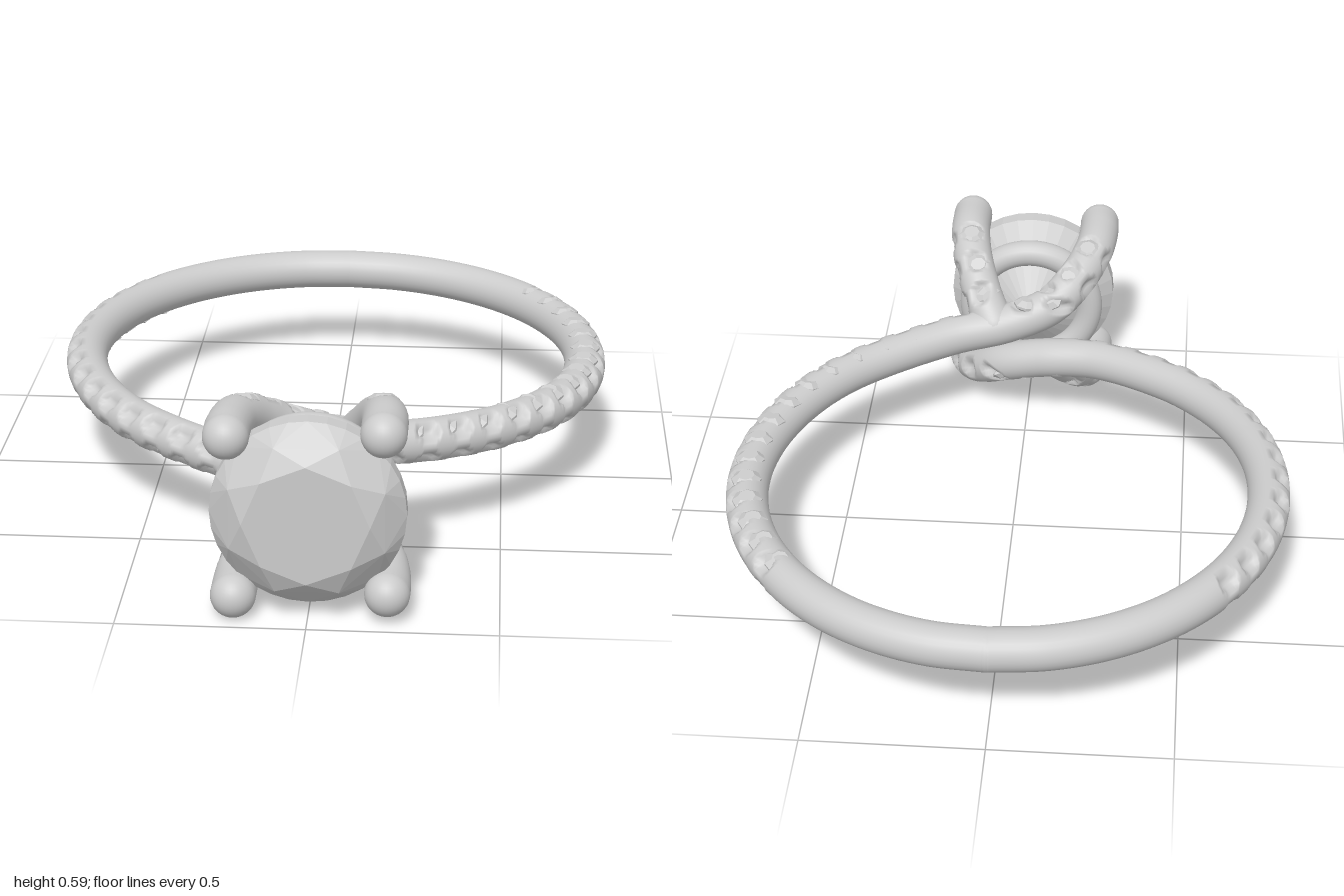
import * as THREE from 'three';
import { ConvexGeometry } from 'three/addons/geometries/ConvexGeometry.js';

const V = (x, y, z) => new THREE.Vector3(x, y, z);
const MID = 0.295; // height of the stone axis, about which both halves are turned
const R = 0.06; // wire radius
const PITCH = 0.097; // distance between small stones

const metal = new THREE.MeshStandardMaterial({ color: 0xcccccc });
const facet = new THREE.MeshStandardMaterial({ color: 0xcccccc, flatShading: true });

function mesh(name, geometry, material) {
  const m = new THREE.Mesh(geometry, material);
  m.name = name;
  return m;
}

// Frame on a wire: n faces outwards from the finger on the band, from the stone axis on the prongs
function frameAt(curve, u) {
  const p = curve.getPointAt(u);
  const t = curve.getTangentAt(u);
  const w = THREE.MathUtils.smoothstep(p.z, 0.5, 0.64);
  const band = V(p.x, 0, p.z + 0.2).normalize();
  const prong = V(p.x, p.y, 0).normalize();
  const n = band.lerp(prong, w);
  n.addScaledVector(t, -n.dot(t)).normalize();
  return { p, t, n, b: t.clone().cross(n) };
}

// Round wire with a pair of scooped pockets beside every small stone
function wireGeometry(curve, seats, segments, sides = 28) {
  const length = curve.getLength();
  const pos = [];
  const index = [];
  for (let i = 0; i <= segments; i++) {
    const u = i / segments;
    const { p, n, b } = frameAt(curve, u);
    const gap = seats.reduce((m, s) => Math.min(m, Math.abs(s - u * length)), 1) / 0.034;
    for (let j = 0; j < sides; j++) {
      const a = (j / sides) * Math.PI * 2;
      const off = (Math.min(a, Math.PI * 2 - a) - 0.82) / 0.5;
      const r = R - 0.024 * Math.sqrt(Math.max(0, 1 - gap * gap - off * off));
      const v = p.clone().addScaledVector(n, r * Math.cos(a)).addScaledVector(b, r * Math.sin(a));
      pos.push(v.x, v.y, v.z);
      if (i === segments) continue;
      const k = i * sides + j;
      const l = i * sides + ((j + 1) % sides);
      index.push(k, l, k + sides, l, l + sides, k + sides);
    }
  }
  const g = new THREE.BufferGeometry();
  g.setAttribute('position', new THREE.Float32BufferAttribute(pos, 3));
  g.setIndex(index);
  g.computeVertexNormals();
  return g;
}

// Small round-cut stone, table towards +y
const smallStone = new THREE.LatheGeometry(
  [[0, 0.01], [0.042, 0.04], [0.043, 0.048], [0.024, 0.063], [0, 0.063]].map(([x, y]) => new THREE.Vector2(x, y)), 8);

// A wire with rounded ends, set with stones from the given arc length up to z = 0.84
function setWire(name, points, firstSeat, segments) {
  const group = new THREE.Group();
  group.name = name;
  const curve = new THREE.CatmullRomCurve3(points);
  curve.arcLengthDivisions = 600;
  const length = curve.getLength();
  const seats = [];
  for (let s = firstSeat; s < length && curve.getPointAt(s / length).z < 0.84; s += PITCH) seats.push(s);
  group.add(mesh(name + 'Wire', wireGeometry(curve, seats, segments), metal));
  for (const end of [points[0], points[points.length - 1]]) {
    const cap = mesh(name + 'End', new THREE.SphereGeometry(R, 28, 18), metal);
    cap.position.copy(end);
    group.add(cap);
  }
  for (const s of seats) {
    const { p, t, n, b } = frameAt(curve, s / length);
    const stone = mesh('smallStone', smallStone, facet);
    stone.quaternion.setFromRotationMatrix(new THREE.Matrix4().makeBasis(b, n, t));
    stone.position.copy(p);
    group.add(stone);
  }
  return group;
}

// Half of the ring: one band arm sweeping into a far prong, plus the near prong branching off it
function halfRing() {
  const half = new THREE.Group();
  const arm = [];
  for (let d = 0; d <= 144; d += 12) {
    const a = THREE.MathUtils.degToRad(d);
    const rise = 0.022 * THREE.MathUtils.smoothstep(d, 95, 150);
    arm.push(V(0.74 * Math.sin(a), -0.006 * Math.sin(a) + rise, -0.2 - 0.74 * Math.cos(a)));
  }
  arm.push(V(0.22, 0.035, 0.525), V(0.06, 0.06, 0.565), V(-0.07, 0.105, 0.605), V(-0.15, 0.165, 0.68),
    V(-0.195, 0.205, 0.78), V(-0.207, 0.216, 0.87), V(-0.207, 0.217, 0.932));
  half.add(setWire('bandArm', arm, 0.69, 430));
  half.add(setWire('prong', [V(0.1, 0.06, 0.56), V(0.14, 0.125, 0.625), V(0.175, 0.19, 0.715),
    V(0.193, 0.228, 0.82), V(0.195, 0.233, 0.932)], 0.09, 90));
  return half;
}

// Main stone: octagonal table, crown, round girdle and pointed underside
function mainStone() {
  const pts = [V(0, 0, 0.69)];
  const ring = (count, r, z, turn = 0) => {
    for (let i = 0; i < count; i++) {
      const a = ((i + turn) / count) * Math.PI * 2;
      pts.push(V(r * Math.cos(a), r * Math.sin(a), z));
    }
  };
  ring(8, 0.165, 1);
  ring(8, 0.218, 0.968, 0.5);
  ring(32, 0.256, 0.915);
  ring(32, 0.256, 0.87);
  return mesh('mainStone', new ConvexGeometry(pts), facet);
}

export function createModel() {
  const ring = new THREE.Group();
  ring.name = 'ring';
  const body = new THREE.Group();
  body.name = 'ringBody';
  body.position.y = MID;
  ring.add(body);

  // The two halves match by a half turn about the stone axis
  ['leftHalf', 'rightHalf'].forEach((name, i) => {
    const half = halfRing();
    half.name = name;
    half.rotation.z = i * Math.PI;
    body.add(half);
  });

  body.add(mainStone());

  // Rail under the stone joining the prongs
  const rail = mesh('rail', new THREE.TorusGeometry(0.185, 0.04, 20, 64), metal);
  rail.position.z = 0.785;
  body.add(rail);
  return ring;
}
